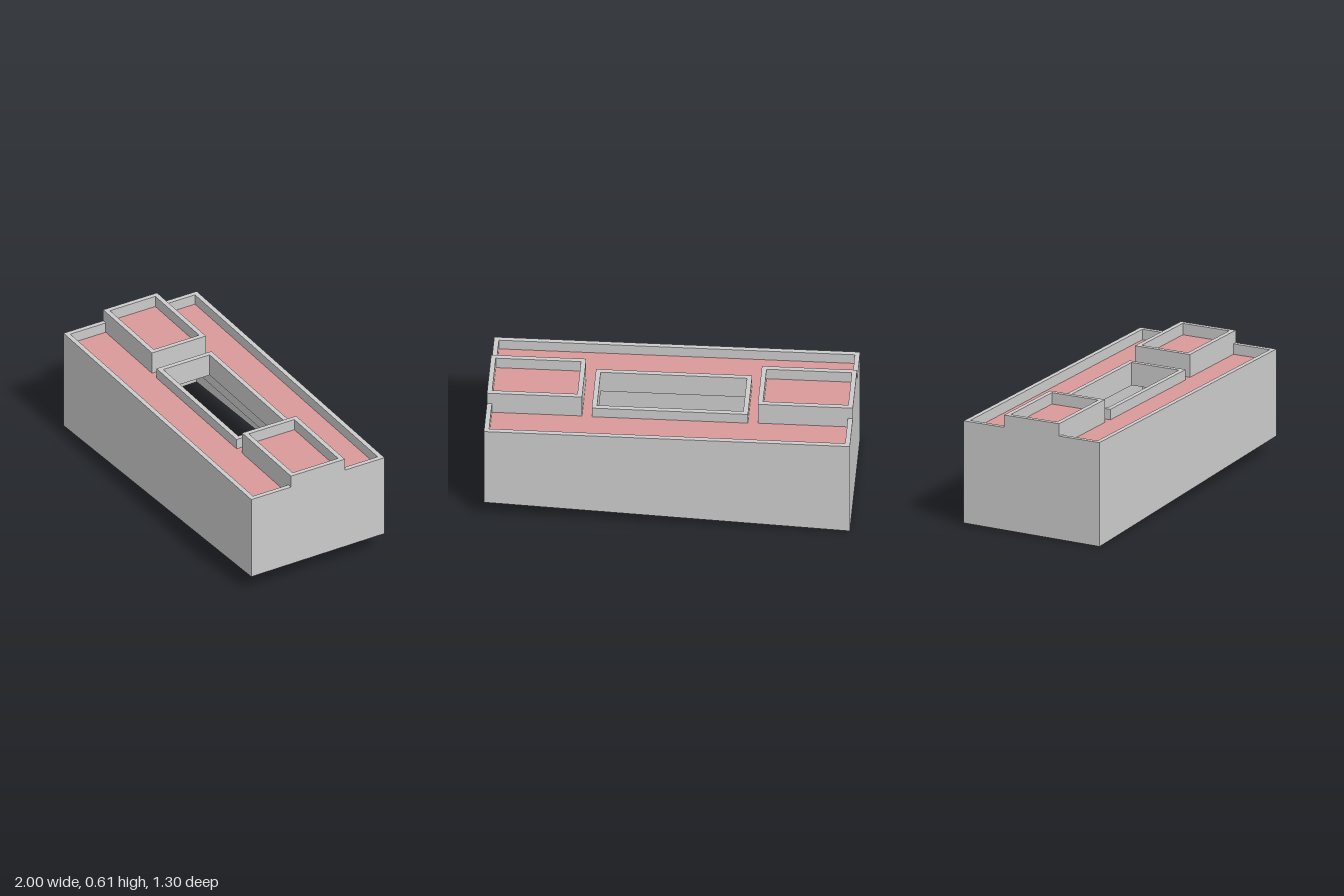
import * as THREE from 'three';

const HALF_L = 0.9235, HALF_W = 0.3905, WALL = 0.025;
const BASE = 0.1, CEILING = 0.43, ROOF = 0.495, TOP = 0.55;

const grey = new THREE.MeshStandardMaterial({ color: 0xcccccc });
const greyDouble = new THREE.MeshStandardMaterial({ color: 0xcccccc, side: THREE.DoubleSide });
const red = new THREE.MeshStandardMaterial({ color: 0xda9999 });

// Rectangle outline centred on the origin, optionally with a rectangular hole
function rect(hx, hz, holeX, holeZ) {
  const corners = (a, b) => [[-a, -b], [a, -b], [a, b], [-a, b]].map(([x, y]) => new THREE.Vector2(x, y));
  const shape = new THREE.Shape(corners(hx, hz));
  if (holeX) shape.holes.push(new THREE.Path(corners(holeX, holeZ)));
  return shape;
}

function add(group, name, geometry, material, y = 0, x = 0) {
  const mesh = new THREE.Mesh(geometry, material);
  mesh.name = name;
  mesh.position.set(x, y, 0);
  group.add(mesh);
  return mesh;
}

// Upright prism of a plan shape
const prism = (shape, height) =>
  new THREE.ExtrudeGeometry(shape, { depth: height, bevelEnabled: false }).rotateX(-Math.PI / 2);
// Level sheet of a plan shape, facing up
const sheet = (shape) => new THREE.ShapeGeometry(shape).rotateX(-Math.PI / 2);

// Thin skirt from the wall base down to the sloping ground
function skirtGeometry() {
  const ground = (x, z) => 0.0525 + 0.0487 * x - 0.0128 * z;
  const ring = [[-1, 1], [1, 1], [1, -1], [-1, -1]].map(([a, b]) => [a * HALF_L, b * HALF_W]);
  const positions = [];
  ring.forEach(([x0, z0], i) => {
    const [x1, z1] = ring[(i + 1) % 4];
    const a = [x0, Math.min(BASE, ground(x0, z0)), z0], b = [x1, Math.min(BASE, ground(x1, z1)), z1];
    const c = [x1, BASE, z1], d = [x0, BASE, z0];
    positions.push(...a, ...b, ...c, ...a, ...c, ...d);
  });
  const geometry = new THREE.BufferGeometry();
  geometry.setAttribute('position', new THREE.Float32BufferAttribute(positions, 3));
  geometry.computeVertexNormals();
  return geometry;
}

export function createModel() {
  const model = new THREE.Group();
  model.name = 'building';
  const body = new THREE.Group();
  body.name = 'body';
  body.rotation.y = -0.308;
  model.add(body);

  const inX = HALF_L - WALL, inZ = HALF_W - WALL;
  const yardX = 0.369, yardZ = 0.136;

  // Outer walls with parapet, and the skirt below them
  add(body, 'outerWalls', prism(rect(HALF_L, HALF_W, inX, inZ), TOP - BASE), grey, BASE);
  add(body, 'groundSkirt', skirtGeometry(), greyDouble);

  // Roof slab and its coloured covering, open over the courtyard
  add(body, 'roofSlab', prism(rect(inX, inZ, yardX, yardZ), ROOF - CEILING - 0.004), grey, CEILING);
  add(body, 'roofCovering', sheet(rect(inX, inZ, yardX, yardZ)), red, ROOF);

  // Parapet around the courtyard
  add(body, 'courtyardParapet',
    prism(rect(yardX + WALL, yardZ + WALL, yardX, yardZ), TOP - CEILING), grey, CEILING);

  // Raised roof block at each end
  const blockX = 0.24, blockZ = 0.158;
  for (const side of [-1, 1]) {
    const block = new THREE.Group();
    block.name = side < 0 ? 'rightRoofBlock' : 'leftRoofBlock';
    block.position.x = side * (HALF_L - blockX);
    body.add(block);
    add(block, 'blockWalls', prism(rect(blockX, blockZ, blockX - WALL, blockZ - WALL), 0.615 - ROOF), grey, ROOF);
    add(block, 'blockCovering', sheet(rect(blockX - WALL, blockZ - WALL)), red, 0.555);
  }
  return model;
}
